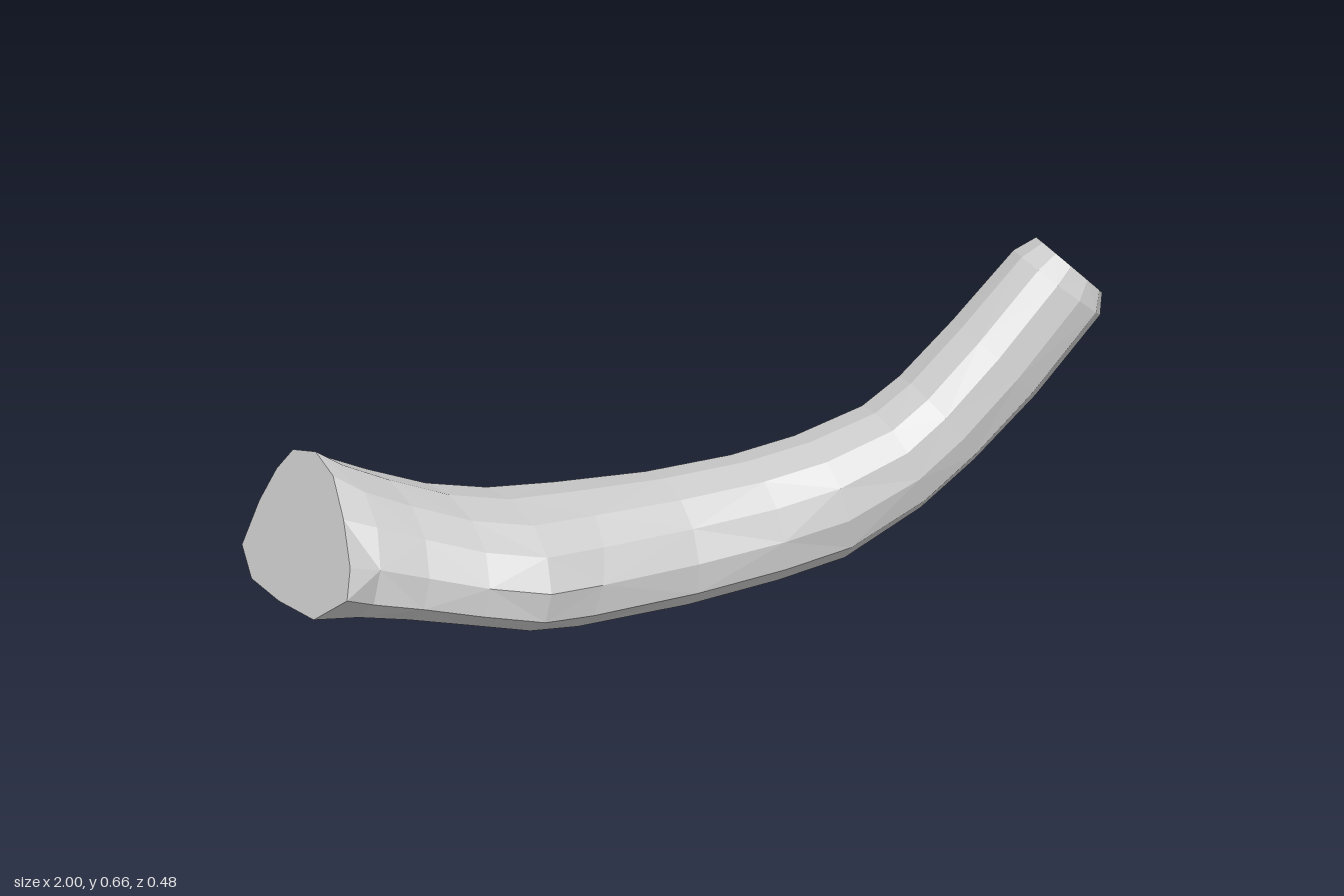
import * as THREE from 'three';

const SIDES = 12;

// Cross-sections along the limb:
// top x, top y, bottom x, bottom y, back z, front z, sideways lean of the top
const SECTIONS = [
  [-0.79, 0.415, -0.87, 0.135, -0.235, 0.16, -0.06],
  [-0.68, 0.36, -0.74, 0.1, -0.232, 0.165, -0.05],
  [-0.55, 0.31, -0.6, 0.065, -0.21, 0.195, -0.04],
  [-0.42, 0.288, -0.46, 0.03, -0.182, 0.23, -0.03],
  [-0.26, 0.275, -0.34, 0.01, -0.15, 0.21, -0.03],
  [-0.05, 0.265, -0.06, 0.003, -0.11, 0.198, -0.03],
  [0.14, 0.28, 0.16, 0.02, -0.075, 0.215, -0.02],
  [0.28, 0.31, 0.32, 0.045, -0.05, 0.235, -0.01],
  [0.44, 0.35, 0.52, 0.12, -0.043, 0.225, 0],
  [0.53, 0.4, 0.66, 0.205, -0.04, 0.213, 0],
  [0.66, 0.505, 0.82, 0.325, -0.038, 0.2, 0],
  [0.815, 0.64, 0.99, 0.478, -0.038, 0.18, 0],
  [0.87, 0.662, 1.0, 0.525, -0.02, 0.155, 0],
];

// Flared end face as (y, z) points, from the top round by the front
const FLARED_END = [
  [0.445, -0.13], [0.43, -0.03], [0.376, 0.08], [0.31, 0.185], [0.256, 0.23], [0.185, 0.15],
  [0.17, 0.0], [0.17, -0.13], [0.21, -0.22], [0.3, -0.237], [0.37, -0.233], [0.42, -0.21],
];

// Slightly squared oval ring, running from the top round by the front
function ring([tx, ty, bx, by, back, front, lean]) {
  const soft = (v) => Math.sign(v) * Math.abs(v) ** 0.88;
  return Array.from({ length: SIDES }, (_, k) => {
    const a = (k / SIDES) * Math.PI * 2;
    const c = soft(Math.cos(a));
    const s = soft(Math.sin(a));
    return new THREE.Vector3(
      (tx + bx) / 2 + ((tx - bx) / 2) * c,
      (ty + by) / 2 + ((ty - by) / 2) * c,
      (back + front) / 2 + ((front - back) / 2) * s + lean * c
    );
  });
}

// Build a geometry from a list of triangles
function fromTriangles(points) {
  const g = new THREE.BufferGeometry().setFromPoints(points);
  g.computeVertexNormals();
  return g;
}

// Skin between neighbouring rings, with alternating diagonals
function loft(rings) {
  const pts = [];
  for (let i = 0; i < rings.length - 1; i++) {
    for (let k = 0; k < SIDES; k++) {
      const n = (k + 1) % SIDES;
      const a = rings[i][k], b = rings[i][n], c = rings[i + 1][k], d = rings[i + 1][n];
      if ((i + k) % 2) pts.push(a, b, c, b, d, c);
      else pts.push(a, b, d, a, d, c);
    }
  }
  return fromTriangles(pts);
}

// Flat end face
function cap(points, flip) {
  const mid = points.reduce((m, p) => m.add(p), new THREE.Vector3()).divideScalar(points.length);
  const pts = [];
  points.forEach((p, k) => {
    const q = points[(k + 1) % points.length];
    if (flip) pts.push(mid, q, p);
    else pts.push(mid, p, q);
  });
  return fromTriangles(pts);
}

export function createModel() {
  const group = new THREE.Group();
  group.name = 'curvedLimb';
  const grey = new THREE.MeshStandardMaterial({ color: 0xcccccc, flatShading: true });
  grey.name = 'light grey';

  const add = (name, geometry) => {
    const mesh = new THREE.Mesh(geometry, grey);
    mesh.name = name;
    group.add(mesh);
  };

  const flared = FLARED_END.map(([y, z]) => new THREE.Vector3(-1 + (y - 0.17) / 1.72, y, z));
  const rings = [flared, ...SECTIONS.map(ring)];

  add('limbSurface', loft(rings));
  add('wideEnd', cap(rings[0], true));
  add('narrowEnd', cap(rings[rings.length - 1], false));
  return group;
}
